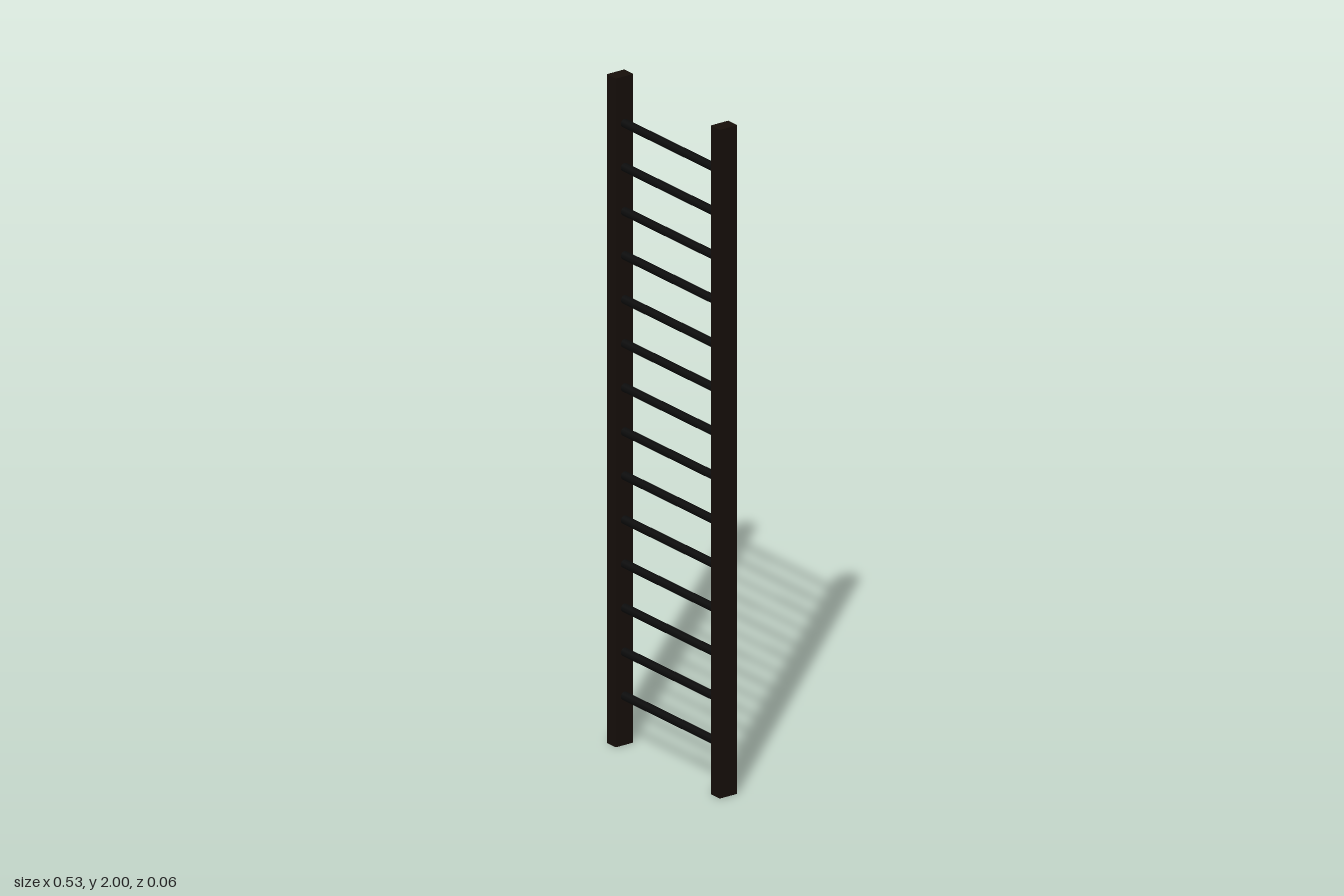
import * as THREE from 'three';

export function createModel() {
  const ladder = new THREE.Group();
  ladder.name = 'ladder';

  const railMaterial = new THREE.MeshStandardMaterial({ color: 0x160f0a });
  const rungMaterial = new THREE.MeshStandardMaterial({ color: 0x0c0c0c });

  // Two upright side rails
  const railGeometry = new THREE.BoxGeometry(0.042, 2, 0.06);
  for (const side of [-1, 1]) {
    const rail = new THREE.Mesh(railGeometry, railMaterial);
    rail.name = side > 0 ? 'leftRail' : 'rightRail';
    rail.position.set(side * 0.242, 1, 0);
    ladder.add(rail);
  }

  // Round rungs, evenly spaced, seated into the rails
  const rungCount = 14;
  const bottom = 0.147;
  const top = 1.86;
  const rungGeometry = new THREE.CylinderGeometry(0.0127, 0.0127, 0.46, 16);
  rungGeometry.rotateZ(Math.PI / 2);
  for (let i = 0; i < rungCount; i++) {
    const rung = new THREE.Mesh(rungGeometry, rungMaterial);
    rung.name = `rung${i + 1}`;
    rung.position.y = THREE.MathUtils.lerp(bottom, top, i / (rungCount - 1));
    ladder.add(rung);
  }

  return ladder;
}
